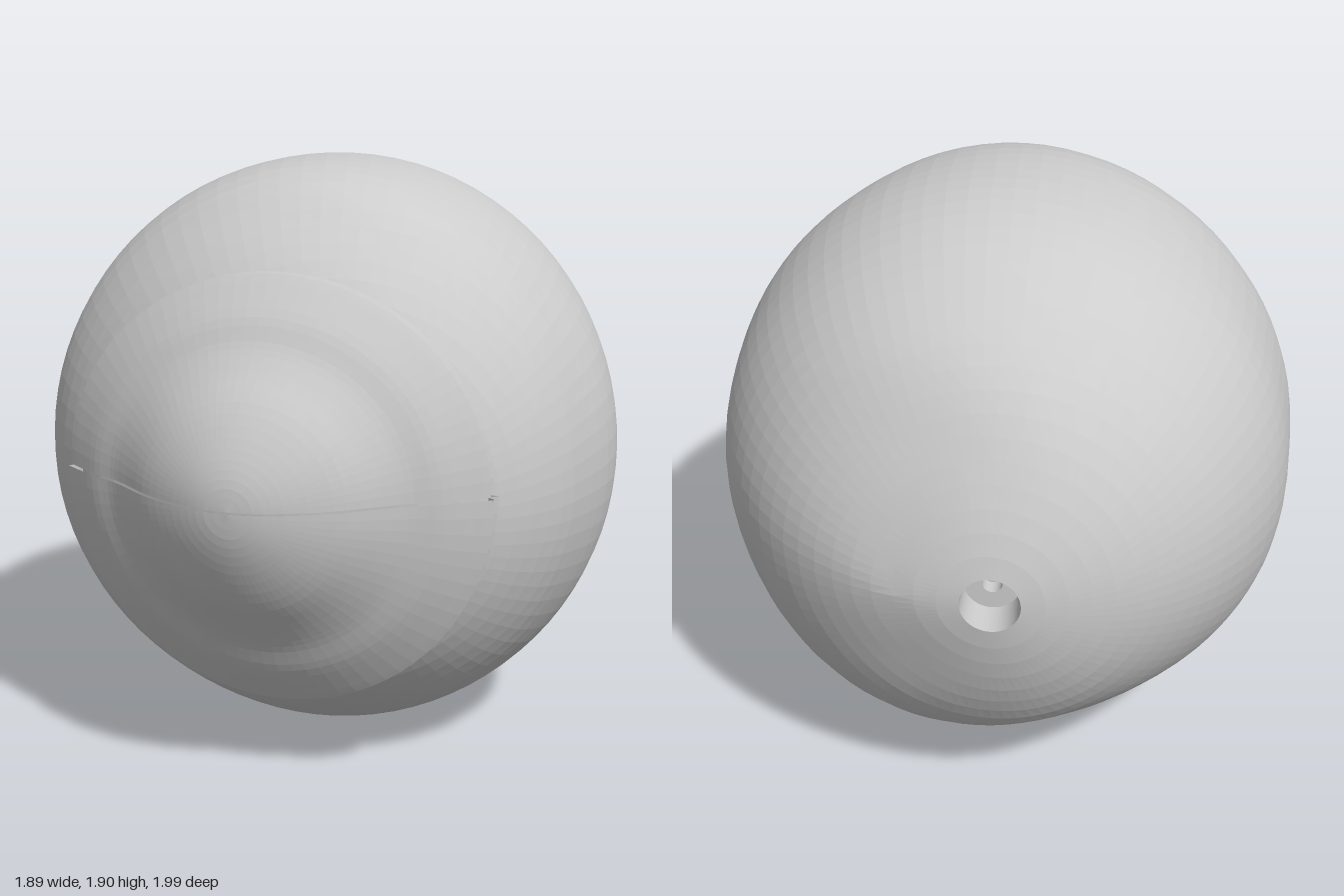
import * as THREE from 'three';

const shellGrey = new THREE.MeshStandardMaterial({ color: 0xcccccc, flatShading: true, side: THREE.DoubleSide });
shellGrey.name = 'shellGrey';

// Surface from rows of points; point(i, j) gives each corner
function gridSurface(rows, cols, point, name) {
  const pos = [], idx = [];
  for (let i = 0; i <= rows; i++) {
    for (let j = 0; j <= cols; j++) {
      pos.push(...point(i, j).toArray());
      if (i < rows && j < cols) {
        const a = i * (cols + 1) + j, b = a + cols + 1;
        idx.push(a, b, b + 1, a, b + 1, a + 1);
      }
    }
  }
  const geo = new THREE.BufferGeometry();
  geo.setAttribute('position', new THREE.Float32BufferAttribute(pos, 3));
  geo.setIndex(idx);
  geo.computeVertexNormals();
  const mesh = new THREE.Mesh(geo, shellGrey);
  mesh.name = name;
  return mesh;
}

// Meridian outline [distance from z axis, z] as a radius for each angle from +z
function meridian(points) {
  const front = [[0, 0.8], [0.35, 0.73], [0.54, 0.67]];
  const curve = new THREE.CatmullRomCurve3(
    [...front, ...points, [0, -1]].map(([d, z]) => new THREE.Vector3(Math.atan2(d, z), Math.hypot(d, z), 0)));
  const samples = curve.getPoints(240);
  return (angle) => {
    let k = 1;
    while (k < samples.length - 1 && samples[k].x < angle) k++;
    const a = samples[k - 1], b = samples[k];
    const t = THREE.MathUtils.clamp((angle - a.x) / (b.x - a.x), 0, 1);
    return a.y + (b.y - a.y) * t;
  };
}

const up = meridian([[0.665, 0.6], [0.81, 0.46], [0.89, 0.35], [0.927, 0.25], [0.95, 0], [0.916, -0.29],
  [0.793, -0.556], [0.66, -0.716], [0.445, -0.85], [0.24, -0.94]]);
const down = meridian([[0.65, 0.6], [0.773, 0.46], [0.9, 0.25], [0.95, 0], [0.923, -0.18], [0.84, -0.4],
  [0.75, -0.61], [0.65, -0.77], [0.49, -0.88], [0.25, -0.957]]);
const plusX = meridian([[0.7, 0.57], [0.87, 0.32], [0.91, 0.175], [0.942, -0.05], [0.88, -0.34],
  [0.77, -0.58], [0.555, -0.81], [0.344, -0.93]]);
const minusX = meridian([[0.635, 0.61], [0.77, 0.5], [0.85, 0.39], [0.915, 0.16], [0.95, -0.1],
  [0.915, -0.32], [0.79, -0.6], [0.61, -0.81], [0.4, -0.94]]);

// Push a unit direction out to the ball's surface
function onBall(dir) {
  const angle = Math.acos(THREE.MathUtils.clamp(dir.z, -1, 1));
  const flat = dir.x * dir.x + dir.y * dir.y || 1;
  const rx = (dir.x > 0 ? plusX : minusX)(angle), ry = (dir.y > 0 ? up : down)(angle);
  return dir.multiplyScalar((rx * dir.x * dir.x + ry * dir.y * dir.y) / flat || 1);
}

// Ball with a stepped socket hole; the rings start at the hole's axis
function makeBall() {
  const centre = new THREE.Vector3(0, 0.95, 0);
  const axis = new THREE.Vector3(-0.3, 0.02, -0.95).normalize();
  const turn = new THREE.Quaternion().setFromUnitVectors(new THREE.Vector3(0, 0, 1), axis);
  const socket = [[0, 0.85], [0.03, 0.85], [0.03, 0.9], [0.085, 0.9]]; // [radius, distance]
  const rings = 44, cols = 84, rim = 0.089;
  return gridSurface(socket.length + rings, cols, (i, j) => {
    const turnAngle = (j % cols) / cols * Math.PI * 2;
    const c = Math.cos(turnAngle), s = Math.sin(turnAngle);
    if (i < socket.length) {
      const [r, d] = socket[i];
      return new THREE.Vector3(r * c, r * s, d).applyQuaternion(turn).add(centre);
    }
    const a = rim + (Math.PI - rim) * (i - socket.length) / rings;
    const dir = new THREE.Vector3(Math.sin(a) * c, Math.sin(a) * s, Math.cos(a)).applyQuaternion(turn);
    return onBall(dir).add(centre);
  }, 'ball');
}

// Bell-shaped half cover with a grooved double rim
function makeLid(side, rx, ry, name) {
  const bell = new THREE.SplineCurve([[0, 0.99], [0.13, 0.98], [0.28, 0.945], [0.45, 0.885], [0.6, 0.81],
    [0.7, 0.765], [0.82, 0.725], [0.95, 0.665], [1, 0.64]].map((p) => new THREE.Vector2(...p))).getPoints(28);
  const profile = [...bell, ...[[0.965, 0.622], [1, 0.6], [0.9, 0.585]].map((p) => new THREE.Vector2(...p))];
  const start = side > 0 ? 0 : Math.PI, cols = 40;
  return gridSurface(profile.length - 1, cols, (i, j) => {
    const a = start + Math.PI * j / cols, { x: k, y: z } = profile[i];
    const x = k * Math.cos(a), y = k * Math.sin(a);
    return new THREE.Vector3(
      0.043 + rx * x,
      0.982 + side * 0.003 + ry * y + 0.01 * x, // slit is slightly tilted
      z - 0.025 * x + 0.012 * y);
  }, name);
}

export function createModel() {
  const model = new THREE.Group();
  model.name = 'eyeball';
  model.add(
    makeBall(),
    makeLid(1, 0.675, 0.635, 'upperLid'),
    makeLid(-1, 0.688, 0.712, 'lowerLid'));
  return model;
}
